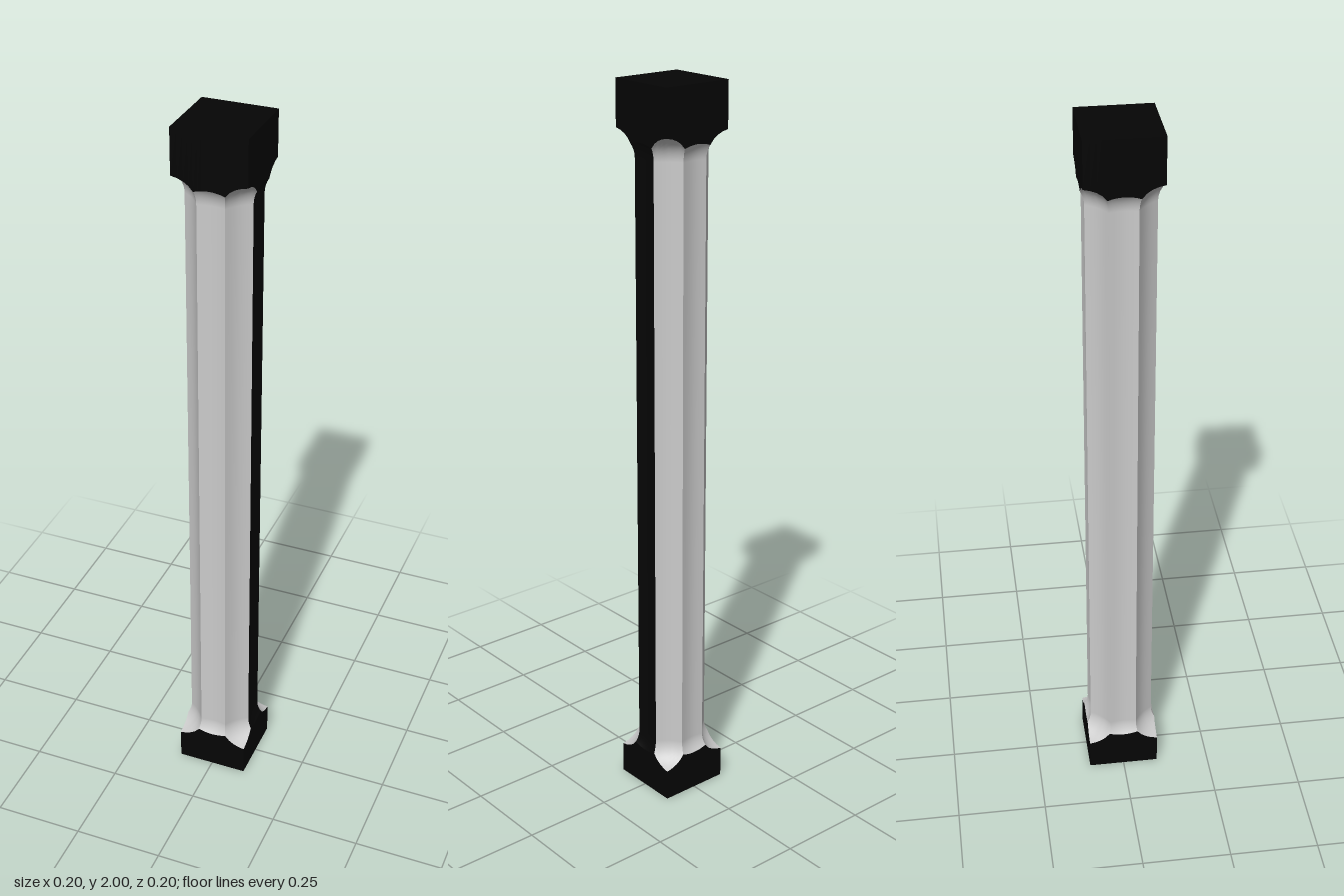
import * as THREE from 'three';

const HALF = 0.1;                 // half width of the square end blocks
const HEIGHT = 2;
const R = 0.07;                   // radius of the scooped flute ends
const LOW = 0.157, HIGH = 1.808;  // heights where the straight flutes begin and end
const SEG = 8, ARC = 8;           // steps across a flute and along a scoop
const STEP = Math.PI / 4;         // eight flutes around the post

const polar = (angle, radius, y) =>
  new THREE.Vector3(Math.sin(angle) * radius, y, Math.cos(angle) * radius);

// Distance from the axis to the square outline at an angle
const squareRadius = (angle) =>
  HALF / Math.max(Math.abs(Math.sin(angle)), Math.abs(Math.cos(angle)));

// Hollow of a flute: deepest in the middle, t runs from -1 to 1 across it
const fluteDepth = (t) => 0.085 + 0.005 * t * t;

// Angle swept by the scoop before it breaks out through the square faces
function scoopSweep(flute, t) {
  const phi = t * STEP / 2;
  const gap = squareRadius(flute * STEP + phi) * Math.cos(phi) - fluteDepth(t);
  return Math.acos(1 - gap / R);
}

// Point on a flute; sweep is negative in the lower scoop, positive in the upper
function flutePoint(flute, t, sweep, y0) {
  const phi = t * STEP / 2;
  const d = fluteDepth(t) + R * (1 - Math.cos(sweep));
  return polar(flute * STEP + phi, d / Math.cos(phi), y0 + R * Math.sin(sweep));
}

// Grid surface from a point function of (column, row)
function grid(cols, rows, point) {
  const pos = [], index = [];
  for (let j = 0; j <= rows; j++)
    for (let i = 0; i <= cols; i++) pos.push(...point(i, j).toArray());
  for (let j = 0; j < rows; j++)
    for (let i = 0; i < cols; i++) {
      const a = j * (cols + 1) + i, b = a + 1, c = a + cols + 1, d = c + 1;
      index.push(a, b, d, a, d, c);
    }
  const geo = new THREE.BufferGeometry();
  geo.setAttribute('position', new THREE.Float32BufferAttribute(pos, 3));
  geo.setIndex(index);
  geo.computeVertexNormals();
  return geo;
}

export function createModel() {
  const model = new THREE.Group();
  model.name = 'flutedPost';
  const grey = new THREE.MeshStandardMaterial({ color: 0xcccccc });
  const black = new THREE.MeshStandardMaterial({ color: 0x050505 });
  const blackFlat = new THREE.MeshStandardMaterial({ color: 0x050505, flatShading: true });

  const add = (parent, name, geo, mat) => {
    const mesh = new THREE.Mesh(geo, mat);
    mesh.name = name;
    parent.add(mesh);
    return mesh;
  };

  // Eight hollow flutes with scooped ends; the one on +x is dark
  const shaft = new THREE.Group();
  shaft.name = 'shaft';
  model.add(shaft);
  for (let k = 0; k < 8; k++) {
    const geo = grid(SEG, 2 * ARC + 1, (i, j) => {
      const t = 2 * i / SEG - 1, sweep = scoopSweep(k, t);
      return j <= ARC
        ? flutePoint(k, t, -sweep * (1 - j / ARC), LOW)
        : flutePoint(k, t, sweep * (j - ARC - 1) / ARC, HIGH);
    });
    add(shaft, 'flute', geo, k === 2 ? black : grey);
  }

  // Square end blocks, their sides trimmed to the scoop outlines
  for (const top of [false, true]) {
    const block = new THREE.Group();
    block.name = top ? 'topBlock' : 'baseBlock';
    model.add(block);
    const sides = grid(8 * SEG, 1, (i, j) => {
      const k = Math.floor(i / SEG), t = 2 * (i % SEG) / SEG - 1;
      const sweep = scoopSweep(k, t);
      const rim = flutePoint(k, t, top ? sweep : -sweep, top ? HIGH : LOW);
      if ((j === 1) !== top) return rim;
      return rim.setY(top ? HEIGHT : 0);
    });
    add(block, 'blockSides', sides, blackFlat);
    const cap = add(block, 'blockEnd', new THREE.PlaneGeometry(2 * HALF, 2 * HALF), blackFlat);
    cap.rotation.x = top ? -Math.PI / 2 : Math.PI / 2;
    cap.position.y = top ? HEIGHT : 0;
  }
  return model;
}
